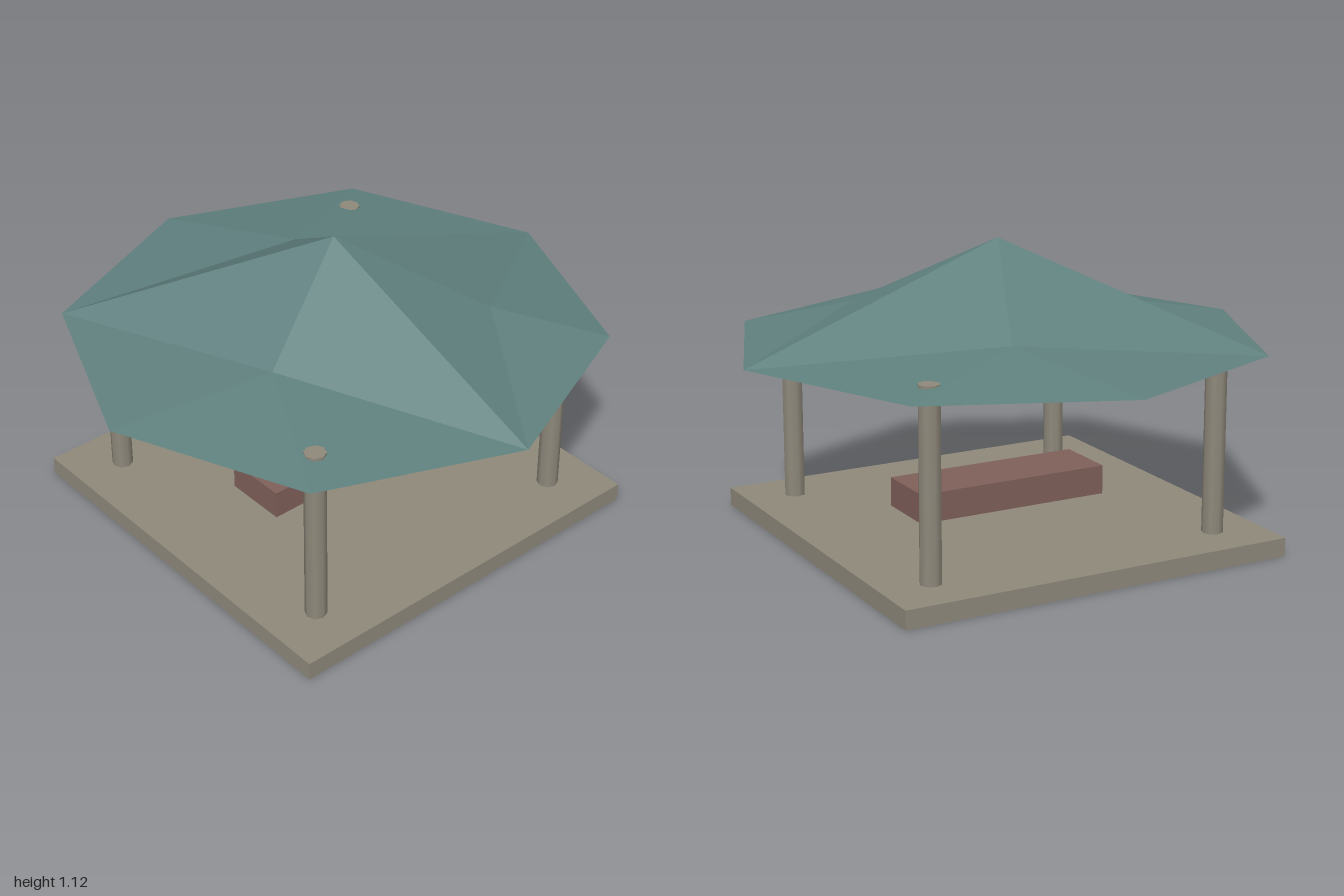
import * as THREE from 'three';

const stone = new THREE.MeshStandardMaterial({ color: 0x8f897b });
const roofPaint = new THREE.MeshStandardMaterial({ color: 0x5f807e, flatShading: true });
const wood = new THREE.MeshStandardMaterial({ color: 0x80605a });

function addMesh(parent, name, geometry, material, x, y, z) {
  const mesh = new THREE.Mesh(geometry, material);
  mesh.name = name;
  mesh.position.set(x, y, z);
  parent.add(mesh);
  return mesh;
}

// Faceted octagonal roof: three sectors between ridges, each sagging to one inner point
function roofGeometry() {
  const eave = 0.74;
  const apex = [0, 1.115, 0];
  const rim = (i) => {
    const a = (i * Math.PI) / 4;
    return [Math.cos(a), eave, Math.sin(a)];
  };
  const sectors = [
    { from: 0, to: 2, inner: [0.4, 0.845, 0.4] },
    { from: 2, to: 5, inner: [-0.437, 0.825, 0.185] },
    { from: 5, to: 8, inner: [0.19, 0.825, -0.445] },
  ];
  const positions = [];
  for (const { from, to, inner } of sectors) {
    const loop = [apex];
    for (let i = from; i <= to; i++) loop.push(rim(i));
    loop.forEach((p, i) => {
      positions.push(...inner, ...loop[(i + 1) % loop.length], ...p);
    });
  }
  // Flat underside
  for (let i = 0; i < 8; i++) positions.push(0, eave, 0, ...rim(i), ...rim(i + 1));

  const geometry = new THREE.BufferGeometry();
  geometry.setAttribute('position', new THREE.Float32BufferAttribute(positions, 3));
  geometry.computeVertexNormals();
  return geometry;
}

export function createModel() {
  const pavilion = new THREE.Group();
  pavilion.name = 'pavilion';

  // Square floor slab
  addMesh(pavilion, 'floor', new THREE.BoxGeometry(1.53, 0.07, 1.53), stone, 0, 0.035, 0);

  // Four posts, their tops just reaching through the lower roof facets
  const postBottom = 0.07, postTop = 0.77;
  const post = new THREE.CylinderGeometry(0.04, 0.04, postTop - postBottom, 8);
  for (const x of [-0.575, 0.575]) {
    for (const z of [-0.575, 0.575]) {
      addMesh(pavilion, 'post', post, stone, x, (postBottom + postTop) / 2, z);
    }
  }

  // Bench slab
  addMesh(pavilion, 'bench', new THREE.BoxGeometry(0.765, 0.11, 0.248), wood, 0, 0.174, 0);

  // Roof
  addMesh(pavilion, 'roof', roofGeometry(), roofPaint, 0, 0, 0);

  return pavilion;
}
